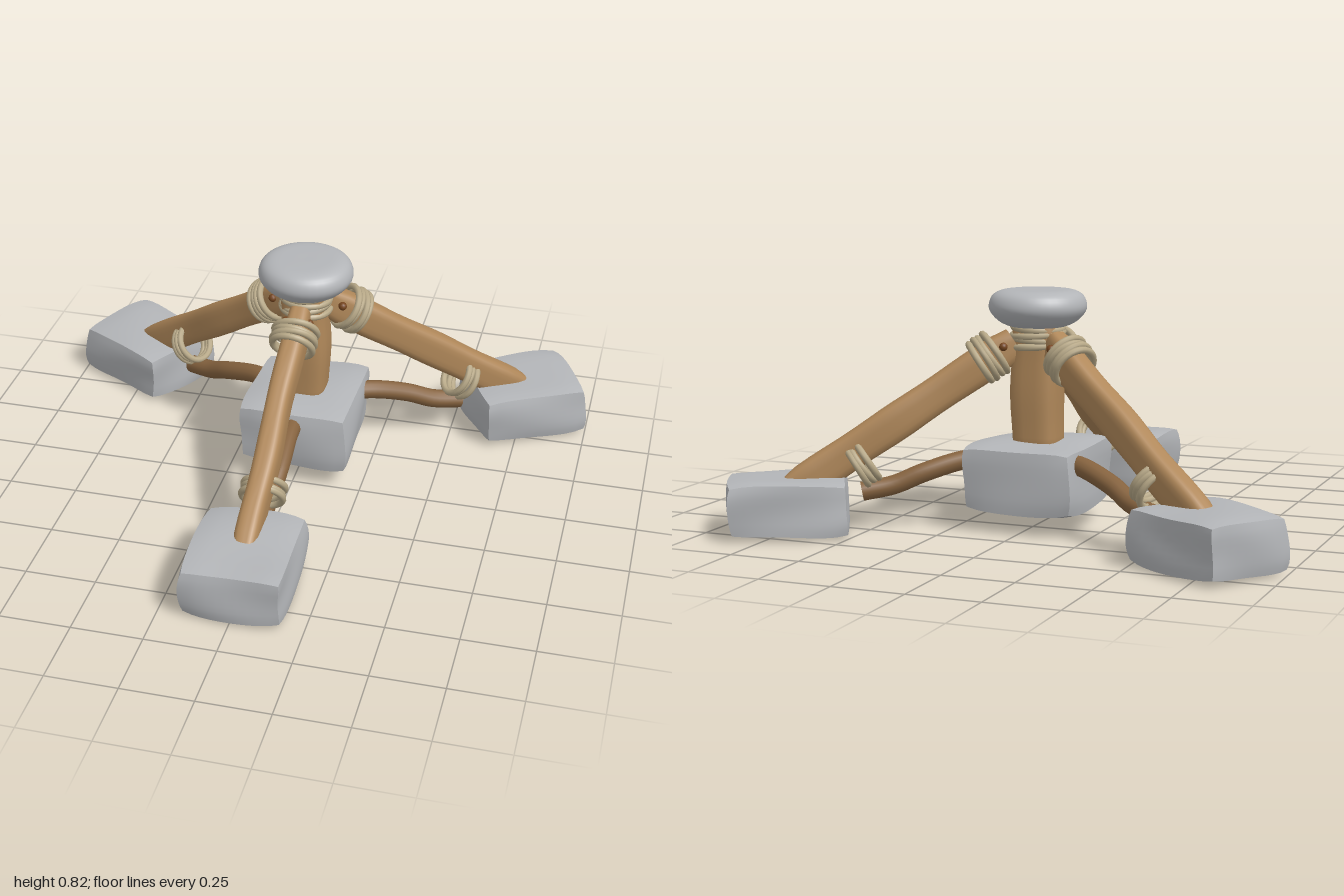
import * as THREE from 'three';
import { toCreasedNormals } from 'three/addons/utils/BufferGeometryUtils.js';

const mat = (name, color) => {
  const m = new THREE.MeshStandardMaterial({ color });
  m.name = name;
  return m;
};

export function createModel() {
  const stone = mat('stone', 0xb3b5b8);
  const wood = mat('wood', 0xaf8759);
  const darkWood = mat('dark wood', 0x86633f);
  const rope = mat('rope', 0xb8a988);
  const pegWood = mat('peg wood', 0x75451f);

  const model = new THREE.Group();
  model.name = 'tripodStand';
  const V = (x, y, z) => new THREE.Vector3(x, y, z);

  function add(parent, name, geometry, material, x = 0, y = 0, z = 0) {
    const mesh = new THREE.Mesh(geometry, material);
    mesh.name = name;
    mesh.position.set(x, y, z);
    parent.add(mesh);
    return mesh;
  }

  // Rough hewn block: gently bulged faces, worn edges and slight waviness
  function stoneBlock(w, h, d, seed) {
    const g = new THREE.BoxGeometry(w, h, d, 10, 8, 10);
    const p = g.attributes.position;
    for (let i = 0; i < p.count; i++) {
      const u = p.getX(i) / w * 2, v = p.getY(i) / h * 2, t = p.getZ(i) / d * 2;
      const wear = (a, b) => 1 - 0.03 * (a ** 4 + b ** 4);
      const wave = (a, b) => 0.005 * Math.sin(2.3 * a + 1.7 * b + seed);
      p.setXYZ(i,
        u * w / 2 * wear(v, t) + wave(v, t),
        v * h / 2 * (wear(u, t) - 0.05 * (u ** 6 + t ** 6)) + wave(t, u),
        t * d / 2 * wear(u, v) + wave(u, v));
    }
    return toCreasedNormals(g, 0.6);
  }

  // Timber with a softly squared section, slight waviness and worn ends
  function timber(halfW, halfD, length, seed) {
    const g = new THREE.CylinderGeometry(1, 1, length, 24, 16);
    const p = g.attributes.position;
    for (let i = 0; i < p.count; i++) {
      const x = p.getX(i), y = p.getY(i), z = p.getZ(i);
      const r = Math.hypot(x, z);
      const square = r > 0.5 ? 1 / Math.pow((x / r) ** 4 + (z / r) ** 4, 0.25) : 1;
      const end = 1 - 0.12 * Math.abs(y / length * 2) ** 20;
      const s = square * end * (1 + 0.025 * Math.sin(y * 19 + seed));
      p.setXYZ(i, x * halfW * s + 0.003 * Math.sin(y * 13 + seed), y, z * halfD * s);
    }
    return toCreasedNormals(g, 0.8);
  }

  // Stack of rope loops around an axis
  function lashing(parent, name, center, axis, radius, count, pitch) {
    const coil = new THREE.Group();
    coil.name = name;
    coil.position.copy(center);
    coil.quaternion.setFromUnitVectors(V(0, 0, 1), axis);
    for (let i = 0; i < count; i++) {
      const loop = add(coil, 'ropeLoop',
        new THREE.TorusGeometry(radius - 0.003 * (i % 2), 0.012, 8, 32), rope,
        0, 0, (i - (count - 1) / 2) * pitch);
      loop.rotation.set(0.05 * Math.sin(i * 2), 0.06 * Math.cos(i * 3), 0);
    }
    parent.add(coil);
  }

  // Central post on its stone, bound with rope under the cap
  const core = new THREE.Group();
  core.name = 'core';
  core.position.z = -0.2;
  model.add(core);
  add(core, 'centerStone', stoneBlock(0.4, 0.235, 0.42, 1), stone, 0, 0.183, 0);
  add(core, 'post', timber(0.082, 0.082, 0.46, 2), wood, 0, 0.49, 0);
  lashing(core, 'postLashing', V(0, 0.66, 0), V(0, 1, 0), 0.087, 4, 0.02);

  // Smooth rounded cap stone
  const profile = new THREE.SplineCurve([
    [0, 0.69], [0.07, 0.691], [0.125, 0.708], [0.16, 0.74], [0.169, 0.77],
    [0.155, 0.803], [0.12, 0.82], [0.06, 0.823], [0, 0.823],
  ].map(([r, y]) => new THREE.Vector2(r, y))).getPoints(28);
  profile.forEach((q) => { q.x = Math.max(q.x, 0); });
  add(core, 'capStone', new THREE.LatheGeometry(profile, 40), stone);

  // Three identical arms, each running outward along its local +z
  const top = V(0, 0.64, 0.08), foot = V(0, 0.14, 0.85);
  const dir = foot.clone().sub(top).normalize();
  for (let i = 0; i < 3; i++) {
    const arm = new THREE.Group();
    arm.name = ['frontArm', 'leftArm', 'rightArm'][i];
    arm.rotation.y = i * Math.PI * 2 / 3;
    core.add(arm);

    add(arm, 'footStone', stoneBlock(i ? 0.33 : 0.35, 0.19, 0.405, 3 + i * 2), stone,
      0, 0.102, 0.862);

    const mid = top.clone().lerp(foot, 0.5);
    const leg = add(arm, 'leg', timber(0.042, 0.062, top.distanceTo(foot), i), wood,
      mid.x, mid.y, mid.z);
    leg.quaternion.setFromUnitVectors(V(0, 1, 0), dir);

    // Bent brace between the center stone and the foot
    const path = new THREE.CatmullRomCurve3([
      V(0, 0.245, 0.15), V(0, 0.235, 0.26), V(0.005, 0.195, 0.4),
      V(0, 0.155, 0.5), V(0, 0.135, 0.61)]);
    add(arm, 'brace', new THREE.TubeGeometry(path, 20, 0.034, 12), darkWood);
    const cap = add(arm, 'braceEnd', new THREE.CircleGeometry(0.034, 12), darkWood, 0, 0.135, 0.61);
    cap.quaternion.setFromUnitVectors(V(0, 0, 1), path.getTangent(1));

    // Peg through the leg
    const peg = add(arm, 'peg', new THREE.CapsuleGeometry(0.015, 0.085, 4, 12), pegWood,
      0, 0.63, 0.125);
    peg.rotation.z = Math.PI / 2;

    lashing(arm, 'upperLashing', V(0, 0.59, 0.175), dir, 0.076, 4, 0.02);
    lashing(arm, 'lowerLashing', V(0, 0.232, 0.608), dir, 0.072, 3, 0.02);
  }
  return model;
}
